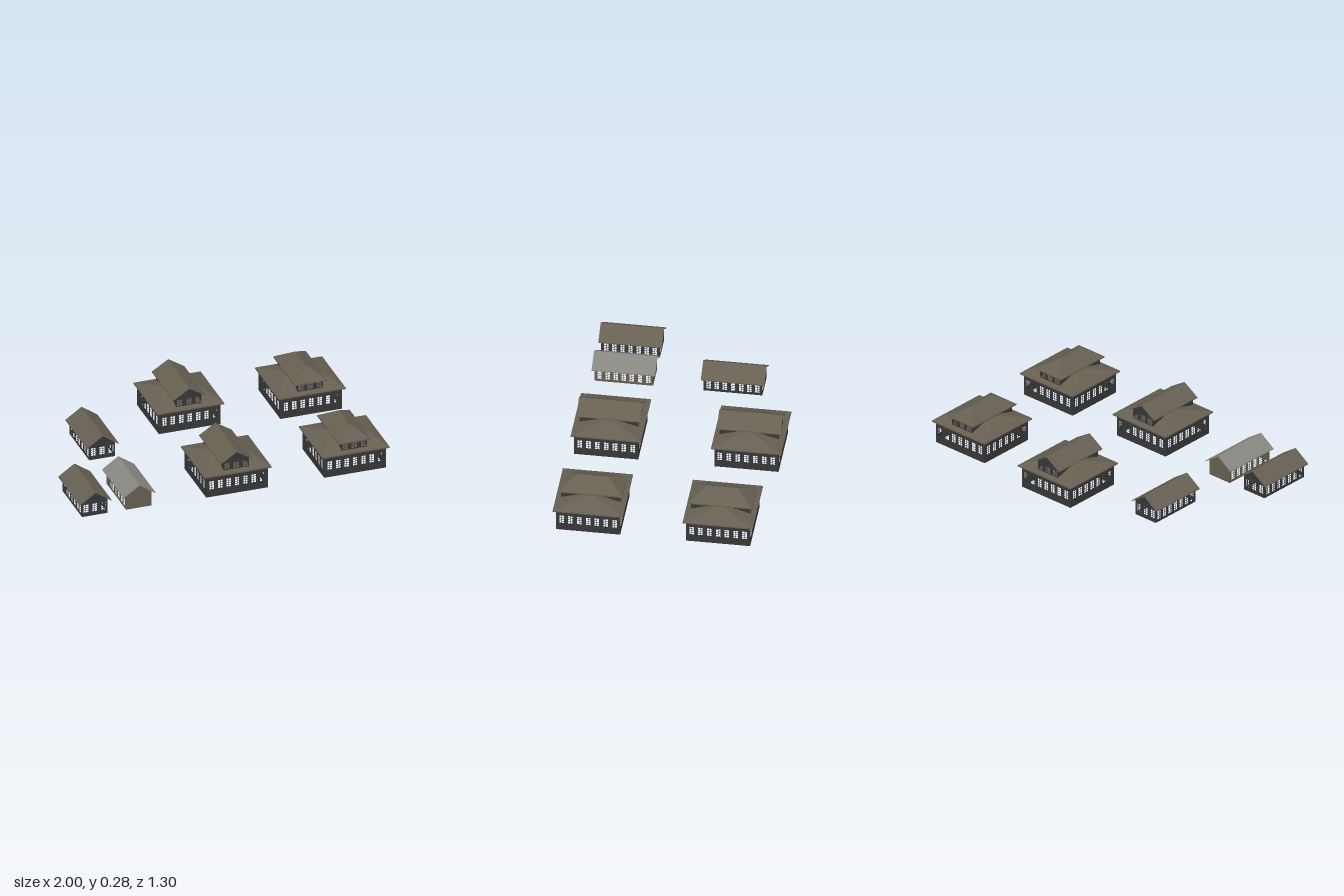
import * as THREE from 'three';

const paint = (name, color) => {
  const m = new THREE.MeshStandardMaterial({ color, side: THREE.DoubleSide, flatShading: true });
  m.name = name;
  return m;
};

// Rectangular panel from y0 to y1 with an even row of latticed windows
function panelGeometry(width, y0, y1, win) {
  const h = width / 2;
  const rect = (C, xa, ya, xb, yb) => new C([
    new THREE.Vector2(xa, ya), new THREE.Vector2(xb, ya),
    new THREE.Vector2(xb, yb), new THREE.Vector2(xa, yb)]);
  const shape = rect(THREE.Shape, -h, y0, h, y1);
  if (win) {
    const cols = 2, rows = 4, bar = 0.003;
    const pw = (win.w - bar * (cols - 1)) / cols;
    const ph = (win.top - win.bottom - bar * (rows - 1)) / rows;
    for (let i = 0; i < win.count; i++) {
      const left = (i - (win.count - 1) / 2) * win.gap - win.w / 2;
      for (let c = 0; c < cols; c++) {
        for (let r = 0; r < rows; r++) {
          const x = left + c * (pw + bar), y = win.bottom + r * (ph + bar);
          shape.holes.push(rect(THREE.Path, x, y, x + pw, y + ph));
        }
      }
    }
  }
  return new THREE.ShapeGeometry(shape);
}

// Four walls around a rectangle
function addWalls(group, name, material, hx, hz, y0, y1, endWin, sideWin) {
  for (let k = 0; k < 4; k++) {
    const end = k % 2 === 0;
    const geo = panelGeometry(2 * (end ? hx : hz), y0, y1, end ? endWin : sideWin);
    geo.translate(0, 0, end ? hz : hx).rotateY(k * Math.PI / 2);
    const wall = new THREE.Mesh(geo, material);
    wall.name = name + ['Front', 'Left', 'Back', 'Right'][k];
    group.add(wall);
  }
}

// Triangular gables closing both ends
function addGables(group, material, hx, hz, y, peak) {
  const tri = new THREE.Shape([new THREE.Vector2(-hx, y), new THREE.Vector2(hx, y), new THREE.Vector2(0, peak)]);
  for (const k of [0, 1]) {
    const geo = new THREE.ShapeGeometry(tri).translate(0, 0, hz).rotateY(k * Math.PI);
    const gable = new THREE.Mesh(geo, material);
    gable.name = k ? 'gableBack' : 'gableFront';
    group.add(gable);
  }
}

// Hipped roof: fascia loop, eave loop, then a ridge (rx or rz is zero)
function hipRoof(name, material, hx, hz, rx, rz, eave, peak) {
  const loop = (x, y, z) => [[x, y, z], [x, y, -z], [-x, y, -z], [-x, y, z]];
  const loops = [loop(hx, eave - 0.008, hz), loop(hx, eave, hz), loop(rx, peak, rz)];
  const pos = [];
  for (let l = 0; l < 2; l++) {
    for (let i = 0; i < 4; i++) {
      const j = (i + 1) % 4;
      const [a, b, c, d] = [loops[l][i], loops[l][j], loops[l + 1][j], loops[l + 1][i]];
      const same = (p, q) => p.every((v, n) => Math.abs(v - q[n]) < 1e-9);
      pos.push(...a, ...b, ...c);
      if (!same(c, d)) pos.push(...a, ...c, ...d);
    }
  }
  const geo = new THREE.BufferGeometry();
  geo.setAttribute('position', new THREE.Float32BufferAttribute(pos, 3));
  geo.computeVertexNormals();
  const roof = new THREE.Mesh(geo, material);
  roof.name = name;
  return roof;
}

// Pitched roof: thin chevron running along z
function gableRoof(name, material, hx, hz, eave, peak) {
  const t = 0.006;
  const s = new THREE.Shape();
  s.moveTo(-hx, eave - t);
  s.lineTo(0, peak - t);
  s.lineTo(hx, eave - t);
  s.lineTo(hx, eave);
  s.lineTo(0, peak);
  s.lineTo(-hx, eave);
  s.closePath();
  const geo = new THREE.ExtrudeGeometry(s, { depth: 2 * hz, bevelEnabled: false });
  const roof = new THREE.Mesh(geo.translate(0, 0, -hz), material);
  roof.name = name;
  return roof;
}

// Two-storey hall with a wide hipped roof and a raised upper roof
function hall(mats, hippedTop) {
  const g = new THREE.Group();
  const row = { count: 7, gap: 0.0545, w: 0.028, bottom: 0.052, top: 0.107 };
  addWalls(g, 'lowerWall', mats.wall, 0.2, 0.198, 0, 0.152, row, row);
  g.add(hipRoof('lowerRoof', mats.roof, 0.2175, 0.2165, 0.09, 0, 0.15, 0.212));
  const upperRow = { count: 3, gap: 0.06, w: 0.034, bottom: 0.166, top: 0.204 };
  addWalls(g, 'upperWall', mats.wall, 0.082, 0.183, 0.158, 0.222, upperRow, null);
  if (hippedTop) {
    g.add(hipRoof('upperRoof', mats.roof, 0.105, 0.197, 0, 0.095, 0.217, 0.284));
  } else {
    addGables(g, mats.gable, 0.082, 0.183, 0.222, 0.277);
    g.add(gableRoof('upperRoof', mats.roof, 0.105, 0.197, 0.217, 0.284));
  }
  return g;
}

// Single-storey cottage with a pitched roof
function cottage(mats, wall, gable, roof, endWindows) {
  const g = new THREE.Group();
  const side = { count: 7, gap: 0.05, w: 0.027, bottom: 0.018, top: 0.072 };
  const end = { count: 3, gap: 0.058, w: 0.03, bottom: 0.028, top: 0.08 };
  addWalls(g, 'wall', wall, 0.083, 0.181, 0, 0.1, endWindows ? end : null, side);
  addGables(g, gable, 0.083, 0.181, 0.1, 0.159);
  g.add(gableRoof('roof', roof, 0.103, 0.196, 0.094, 0.165));
  return g;
}

export function createModel() {
  const mats = {
    wall: paint('darkWall', 0x373737),
    gable: paint('slateGable', 0x32373a),
    roof: paint('brownRoof', 0x665f52),
    pale: paint('greyRoof', 0x888680),
  };
  const model = new THREE.Group();
  model.name = 'village';
  const place = (name, g, x, z) => {
    g.name = name;
    g.position.set(x, 0, z);
    model.add(g);
  };

  // Halls
  place('gabledHallFront', hall(mats, false), 0.018, 0.431);
  place('gabledHallBack', hall(mats, false), 0.018, -0.435);
  place('hippedHallFront', hall(mats, true), 0.7825, 0.431);
  place('hippedHallBack', hall(mats, true), 0.7825, -0.371);

  // Cottages
  place('cottageLeft', cottage(mats, mats.wall, mats.gable, mats.roof, true), -0.897, 0.431);
  place('cottageBack', cottage(mats, mats.wall, mats.gable, mats.roof, true), -0.612, -0.243);
  place('paleCottage', cottage(mats, mats.roof, mats.roof, mats.pale, false), -0.612, 0.431);
  return model;
}
